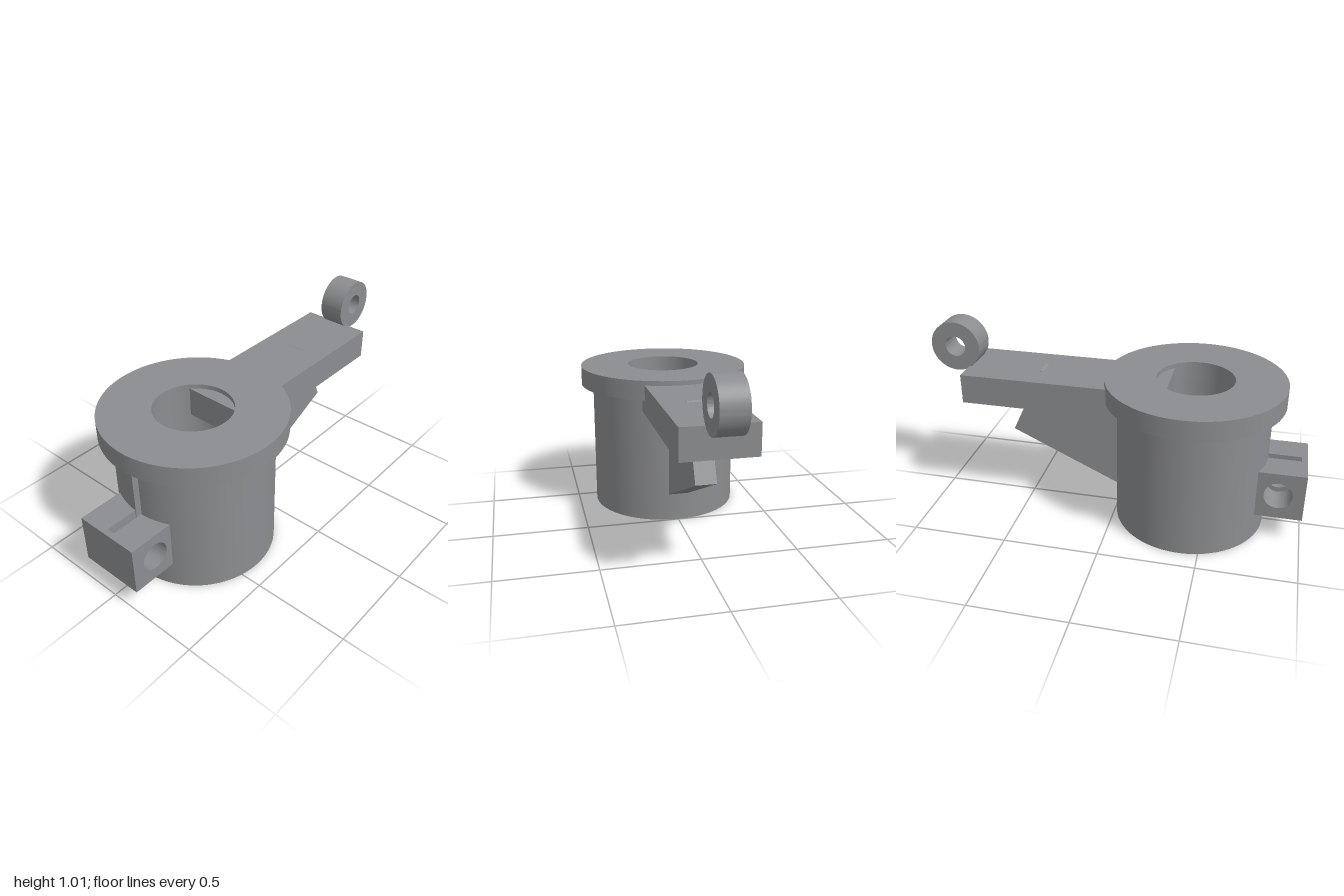
import * as THREE from 'three';
import { toCreasedNormals } from 'three/addons/utils/BufferGeometryUtils.js';

export function createModel() {
  const model = new THREE.Group();
  const metal = new THREE.MeshStandardMaterial({ color: 0x8c8d90 });
  metal.name = 'grey metal';

  const add = (name, geometry, x = 0, y = 0, z = 0) => {
    const mesh = new THREE.Mesh(geometry, metal);
    mesh.name = name;
    mesh.position.set(x, y, z);
    model.add(mesh);
    return mesh;
  };
  const extrude = (shape, depth) => toCreasedNormals(
    new THREE.ExtrudeGeometry(shape, { depth, bevelEnabled: false, curveSegments: 48 }), 0.5);
  const hole = (x, y, r) => new THREE.Path().absarc(x, y, r, 0, Math.PI * 2, true);
  const ring = (outer, inner, depth) => {
    const shape = new THREE.Shape().absarc(0, 0, outer, 0, Math.PI * 2, false);
    shape.holes.push(hole(0, 0, inner));
    return extrude(shape, depth);
  };

  // Clamp sleeve: a tube with a narrow slit facing the lugs
  const centreX = -0.4, outer = 0.4, bore = 0.2, halfSlit = 0.021;
  const a = Math.PI - Math.asin(halfSlit / outer);
  const b = Math.PI - Math.asin(halfSlit / bore);
  const sleeve = new THREE.Shape();
  sleeve.absarc(0, 0, outer, -a, a, false);
  sleeve.absarc(0, 0, bore, b, -b, true);
  sleeve.closePath();
  add('sleeve', extrude(sleeve, 0.695), centreX).rotation.x = -Math.PI / 2;

  // Wide collar on top of the sleeve
  add('collar', ring(0.465, bore, 0.105), centreX, 0.695).rotation.x = -Math.PI / 2;

  // Pair of drilled clamp lugs, joined by a thin end wall
  const lug = new THREE.Shape([[-1, 0.14], [-0.72, 0.14], [-0.72, 0.4], [-1, 0.4]]
    .map(([x, y]) => new THREE.Vector2(x, y)));
  lug.holes.push(hole(-0.867, 0.272, 0.073));
  const lugGeometry = extrude(lug, 0.153);
  add('backLug', lugGeometry, 0, 0, -0.178);
  add('frontLug', lugGeometry, 0, 0, 0.017);
  add('lugEndWall', new THREE.BoxGeometry(0.03, 0.26, 0.042), -0.985, 0.27, -0.004);

  // Flat arm and its slanted supporting rib, both reaching slightly into the bore
  add('arm', new THREE.BoxGeometry(1.07, 0.157, 0.37), 0.265, 0.697);
  const rib = add('rib', new THREE.BoxGeometry(0.8, 0.4, 0.105), 0.128, 0.431);
  rib.rotation.z = THREE.MathUtils.degToRad(25);

  // Eyelet at the tip of the arm
  add('eyelet', ring(0.133, 0.055, 0.132), 0.867, 0.881, -0.066);

  return model;
}
